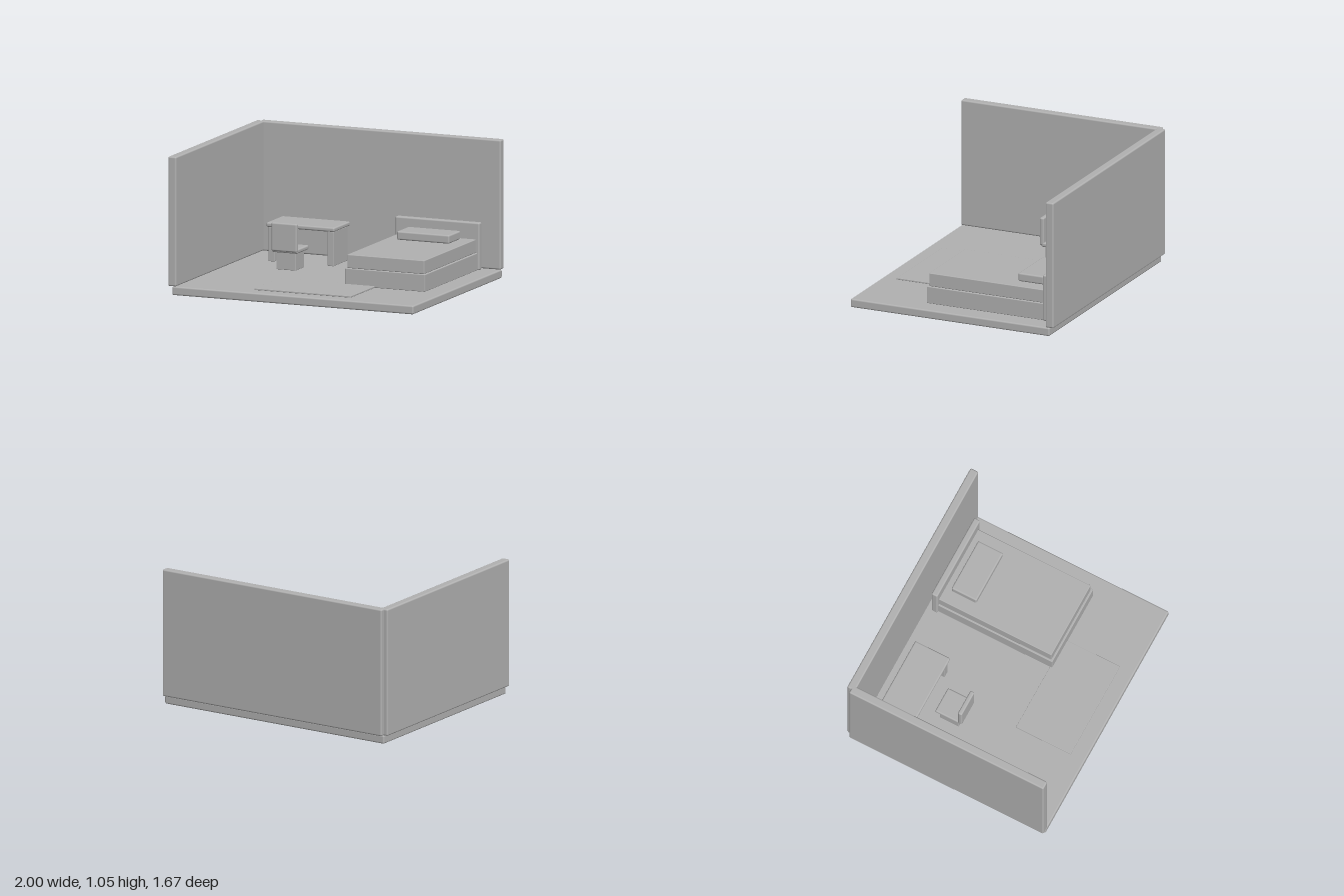
import * as THREE from 'three';
import { RoundedBoxGeometry } from 'three/addons/geometries/RoundedBoxGeometry.js';

export function createModel() {
  const model = new THREE.Group();
  const grey = new THREE.MeshStandardMaterial({ color: 0xb2b2b2 });
  grey.name = 'plain grey';

  const group = (name) => {
    const g = new THREE.Group();
    g.name = name;
    model.add(g);
    return g;
  };

  // Box given by its extents on each axis, with softened edges
  const block = (parent, name, [x0, x1], [y0, y1], [z0, z1], radius = 0.012) => {
    const mesh = new THREE.Mesh(
      new RoundedBoxGeometry(x1 - x0, y1 - y0, z1 - z0, 3, radius), grey);
    mesh.position.set((x0 + x1) / 2, (y0 + y1) / 2, (z0 + z1) / 2);
    mesh.name = name;
    parent.add(mesh);
  };

  const ground = 0.066; // top of the floor slab

  // Room shell: floor slab and two walls centred on its edges
  const room = group('room');
  block(room, 'floor', [-0.967, 1], [0, ground], [-0.803, 0.836]);
  block(room, 'backWall', [-0.967, 1], [ground, 1.049], [-0.836, -0.77]);
  block(room, 'sideWall', [-1, -0.934], [ground, 1.049], [-0.803, 0.836]);

  // Bed
  const bed = group('bed');
  block(bed, 'bedBase', [0.196, 0.849], [ground, 0.197], [-0.706, 0.278], 0.005);
  block(bed, 'mattress', [0.208, 0.836], [0.197, 0.3], [-0.689, 0.264], 0.006);
  block(bed, 'headboard', [0.179, 0.865], [ground, 0.426], [-0.733, -0.683]);
  block(bed, 'pillow', [0.308, 0.735], [0.302, 0.367], [-0.632, -0.421]);

  // Desk with a slab leg at each end
  const desk = group('desk');
  block(desk, 'deskTop', [-0.739, -0.184], [0.328, 0.362], [-0.676, -0.38]);
  for (const x of [-0.702, -0.221]) {
    block(desk, 'deskLeg', [x - 0.025, x + 0.025], [ground, 0.328], [-0.658, -0.397], 0.005);
  }

  // Chair with its back towards the front of the room
  const chair = group('chair');
  block(chair, 'chairBase', [-0.542, -0.382], [ground, 0.2], [-0.28, -0.12], 0.005);
  block(chair, 'seat', [-0.565, -0.358], [0.198, 0.232], [-0.308, -0.096]);
  block(chair, 'chairBack', [-0.566, -0.358], [0.21, 0.426], [-0.117, -0.082]);

  // Rug
  block(model, 'rug', [-0.347, 0.44], [ground, 0.079], [0.26, 0.72], 0.003);

  return model;
}
